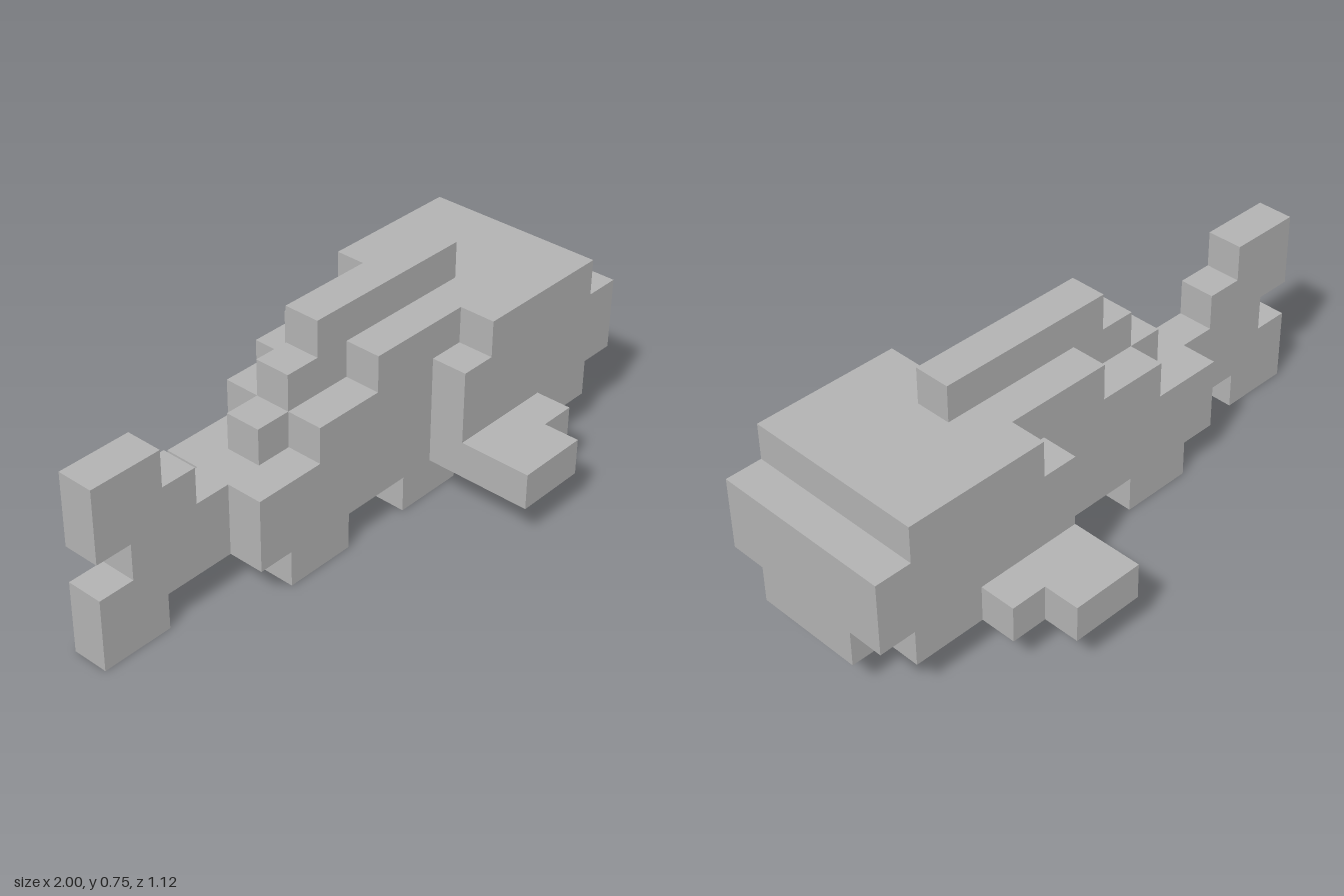
import * as THREE from 'three';

const UNIT = 0.125; // edge of one block

export function createModel() {
  const model = new THREE.Group();
  model.name = 'blockFish';
  const grey = new THREE.MeshStandardMaterial({ color: 0xb2b2b2 });
  grey.name = 'grey';

  // Upright slab: stepped x/y outline (in blocks) extruded from z0 to z1
  function slab(name, outline, z0, z1) {
    const shape = new THREE.Shape(outline.map(([x, y]) => new THREE.Vector2(x * UNIT, y * UNIT)));
    const geo = new THREE.ExtrudeGeometry(shape, { depth: (z1 - z0) * UNIT, bevelEnabled: false });
    geo.translate(0, 0, z0 * UNIT);
    const mesh = new THREE.Mesh(geo, grey);
    mesh.name = name;
    model.add(mesh);
  }

  // Box given by its limits in blocks
  function block(name, x0, x1, y0, y1, z0, z1) {
    const geo = new THREE.BoxGeometry((x1 - x0) * UNIT, (y1 - y0) * UNIT, (z1 - z0) * UNIT);
    geo.translate((x0 + x1) / 2 * UNIT, (y0 + y1) / 2 * UNIT, (z0 + z1) / 2 * UNIT);
    const mesh = new THREE.Mesh(geo, grey);
    mesh.name = name;
    model.add(mesh);
  }

  // Forked tail
  slab('tail', [[-8, 0], [-6, 0], [-6, 1], [-4, 1], [-4, 3], [-5, 3], [-5, 4], [-6, 4],
    [-6, 5], [-8, 5], [-8, 3], [-7, 3], [-7, 2], [-8, 2]], -0.5, 0.5);

  // Body rising in steps towards the head
  slab('body', [[-4, 1], [3, 1], [3, 5], [0, 5], [0, 4], [-2, 4], [-2, 3], [-4, 3]], -1.5, 1.5);

  // Dorsal fin along the back
  slab('dorsalFin', [[-3, 3], [-2, 3], [-2, 4], [0, 4], [0, 5], [4, 5], [4, 6], [-1, 6],
    [-1, 5], [-2, 5], [-2, 4], [-3, 4]].filter((p, i) => i !== 2), -0.5, 0.5);

  // Head, snout and narrower chin
  block('head', 3, 7, 1, 5, -2.5, 2.5);
  block('snout', 7, 8, 2, 4, -2.5, 2.5);
  block('chin', 7, 8, 1, 2, -1.5, 1.5);

  // Paired parts on both sides
  for (const [side, s] of [['left', -1], ['right', 1]]) {
    const pair = (name, x0, x1, y0, y1, a, b) =>
      block(side + name, x0, x1, y0, y1, Math.min(s * a, s * b), Math.max(s * a, s * b));
    pair('Cheek', 2, 3, 1, 4, 1.5, 2.5);
    pair('PectoralFin', 2, 4, 1, 2, 2.5, 4.5);
    pair('PectoralFinStep', 4, 5, 1, 2, 2.5, 3.5);
    pair('FrontBellyFin', 1, 3, 0, 1, 0.5, 1.5);
    pair('RearBellyFin', -3, -1, 0, 1, 0.5, 1.5);
  }

  return model;
}
